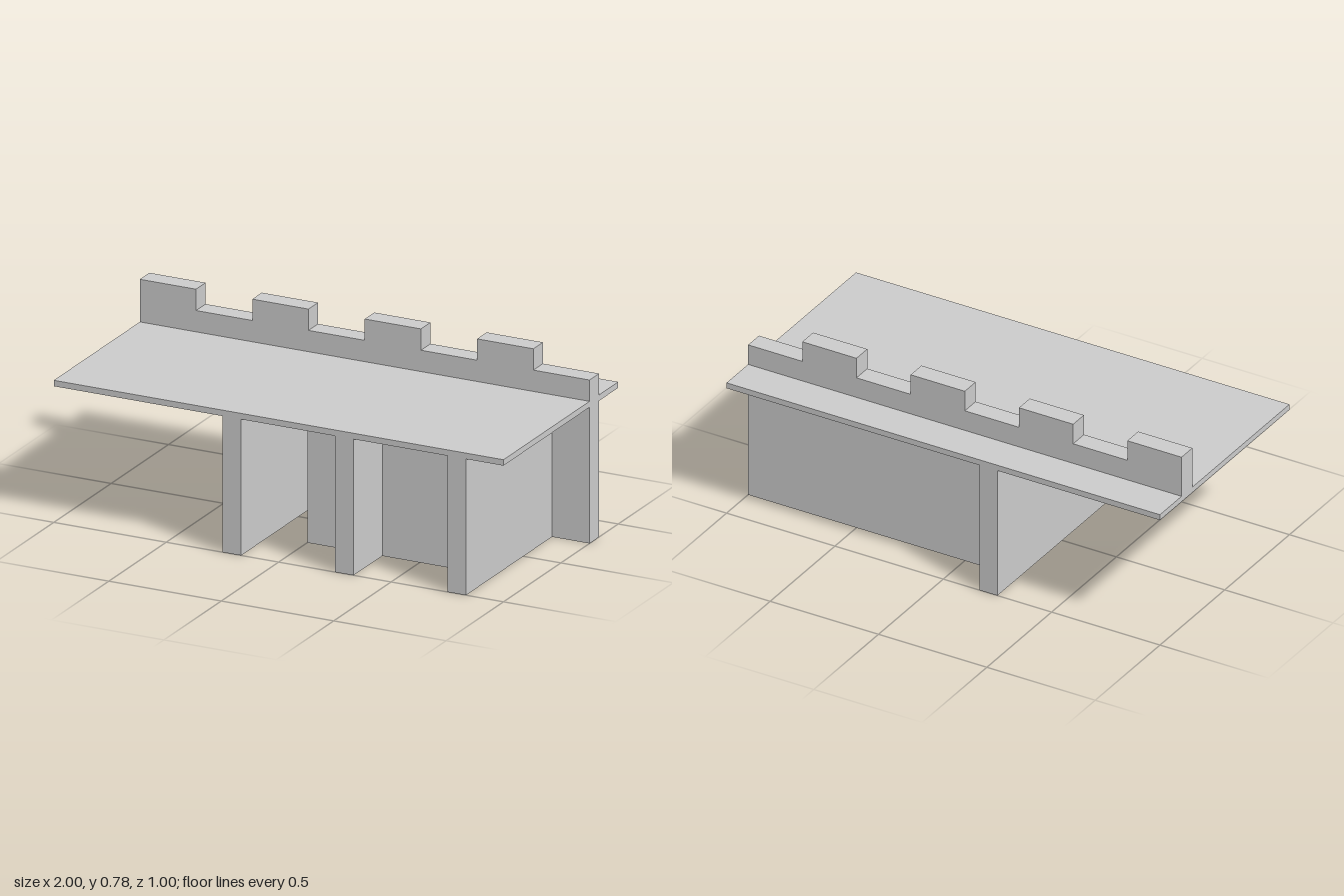
import * as THREE from 'three';

const T = 1 / 12; // wall thickness
const WALL_H = 0.575;
const ROOF_Y = 0.6;

export function createModel() {
  const model = new THREE.Group();
  const stone = new THREE.MeshStandardMaterial({ color: 0xcccccc });
  stone.name = 'pale grey stone';

  // Box given by its limits on each axis
  function block(name, x0, x1, y0, y1, z0, z1) {
    const mesh = new THREE.Mesh(new THREE.BoxGeometry(x1 - x0, y1 - y0, z1 - z0), stone);
    mesh.position.set((x0 + x1) / 2, (y0 + y1) / 2, (z0 + z1) / 2);
    mesh.name = name;
    model.add(mesh);
  }
  const wall = (name, x0, x1, z0, z1) => block(name, x0, x1, 0, WALL_H, z0, z1);

  // Roof slab
  block('roofSlab', -1, 1, WALL_H, ROOF_Y, -0.5, 0.5);

  // Walls under the roof
  wall('rightWall', -0.25, -0.25 + T, -0.5, 0.5);
  wall('backWall', -0.25 + T, 1, -0.25 - T, -0.25);
  wall('leftWall', 0.75, 0.75 + T, -0.25, 0.5);
  wall('crossWall', 0, 0.75, 0.25 - T, 0.25);
  wall('middleWallFront', 0.25, 0.25 + T, 0.25, 0.5);
  wall('middleWallBack', 0.25, 0.25 + T, -0.25, 0);

  // Parapet with battlements, above the back wall
  block('parapet', -1, 1, ROOF_Y, 0.69, -0.25 - T, -0.25);
  for (let i = 0; i < 4; i++) {
    const x = -1 + i * 0.5;
    block('merlon', x, x + 0.25, 0.69, 0.78, -0.25 - T, -0.25);
  }

  return model;
}
